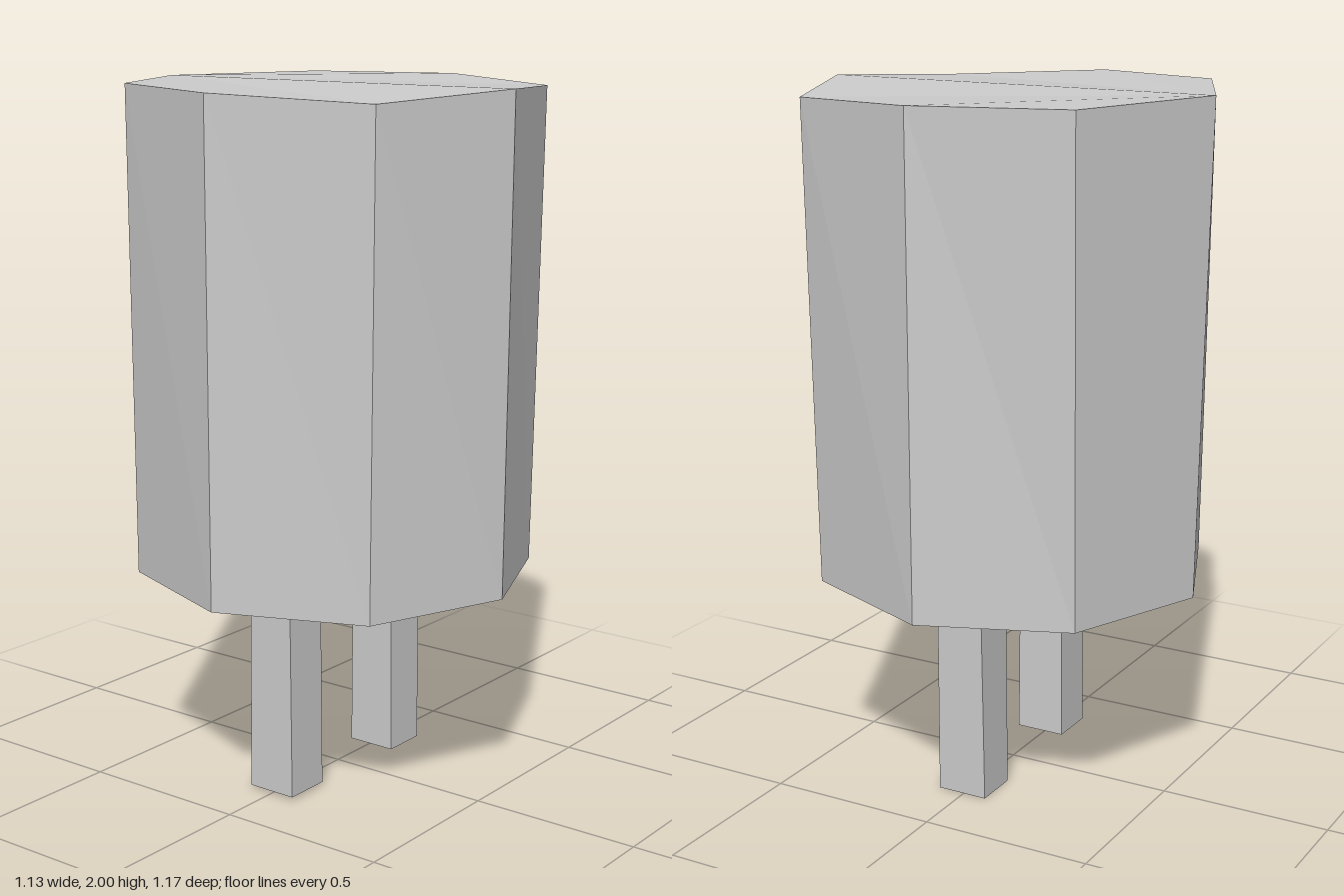
import * as THREE from 'three';

// Flat-faced prism between two rings of [x, y, z], listed clockwise seen from above
function prism(name, bottom, top, material) {
  const pos = [];
  const tri = (...corners) => corners.forEach((c) => pos.push(...c));
  const n = top.length;
  for (let i = 0; i < n; i++) {
    const j = (i + 1) % n;
    tri(bottom[i], top[i], top[j]);
    tri(bottom[i], top[j], bottom[j]);
    if (i > 0 && i < n - 1) {
      tri(top[0], top[j], top[i]);
      tri(bottom[0], bottom[i], bottom[j]);
    }
  }
  const geometry = new THREE.BufferGeometry();
  geometry.setAttribute('position', new THREE.Float32BufferAttribute(pos, 3));
  geometry.computeVertexNormals();
  const mesh = new THREE.Mesh(geometry, material);
  mesh.name = name;
  return mesh;
}

// Four corners of a leg, clockwise from the back left of the plan
const square = (x0, x1, z0, z1, y) => [[x0, y, z0], [x1, y, z0], [x1, y, z1], [x0, y, z1]];

export function createModel() {
  const group = new THREE.Group();
  group.name = 'octagonalBlockOnLegs';
  const grey = new THREE.MeshStandardMaterial({ color: 0xcccccc, flatShading: true });
  grey.name = 'light grey';

  // Slightly irregular eight-sided body
  const bodyTop = [
    [-0.03, 2, -0.59], [0.44, 2, -0.42], [0.565, 2, 0], [0.415, 1.985, 0.42],
    [-0.01, 2, 0.585], [-0.41, 1.975, 0.43], [-0.565, 1.995, 0], [-0.425, 2, -0.405],
  ];
  const bodyBottom = [
    [0, 0.61, -0.575], [0.4, 0.61, -0.41], [0.56, 0.61, 0], [0.39, 0.61, 0.41],
    [-0.02, 0.62, 0.58], [-0.4, 0.61, 0.41], [-0.565, 0.61, 0], [-0.41, 0.61, -0.41],
  ];
  group.add(prism('body', bodyBottom, bodyTop, grey));

  // Two square legs, set into the body
  group.add(prism('rightLeg', square(-0.32, -0.18, -0.07, 0.08, 0.01), square(-0.32, -0.18, -0.065, 0.075, 0.63), grey));
  group.add(prism('leftLeg', square(0.16, 0.295, -0.07, 0.08, 0), square(0.16, 0.305, -0.065, 0.075, 0.63), grey));
  return group;
}
